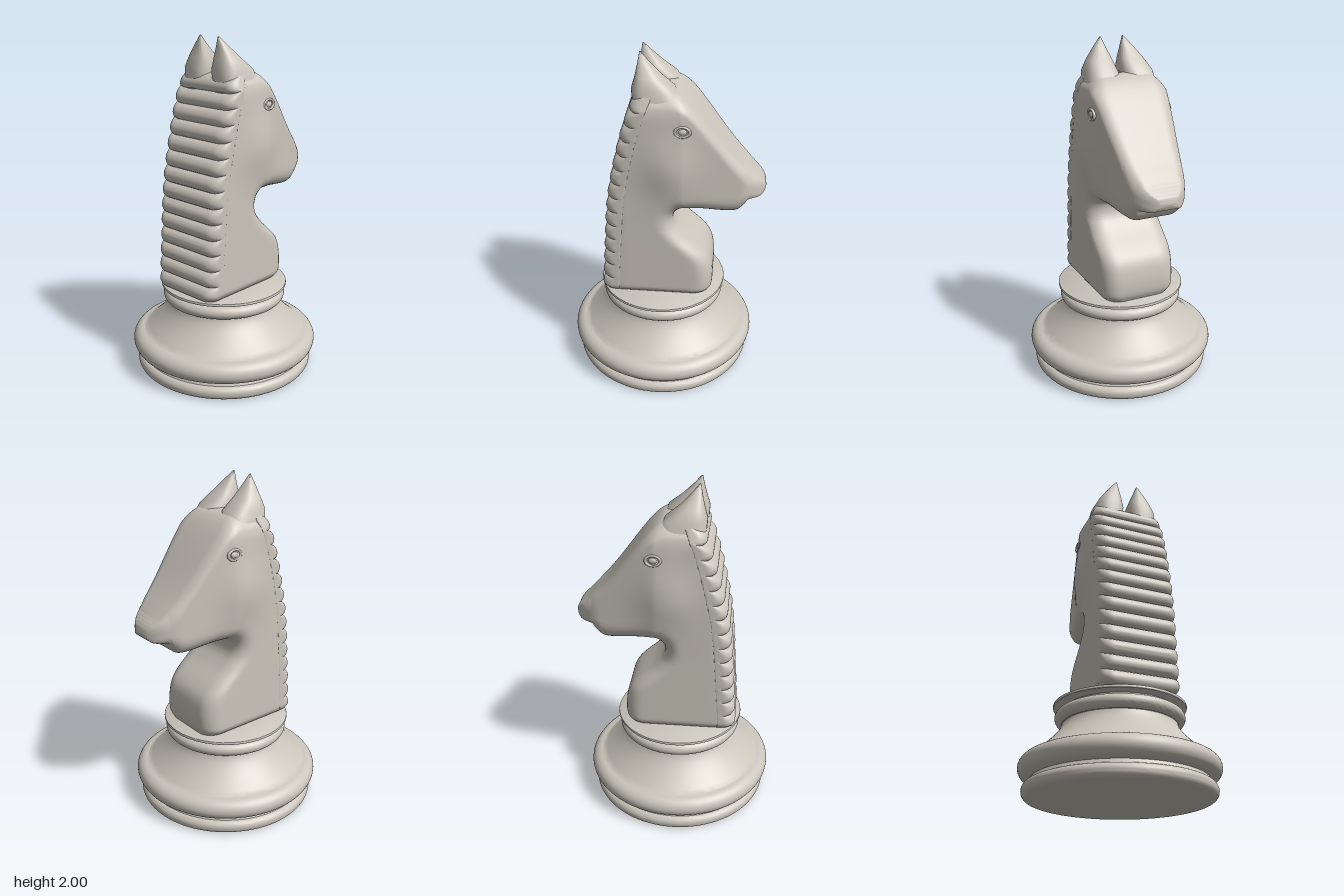
import * as THREE from 'three';
import { toCreasedNormals } from 'three/addons/utils/BufferGeometryUtils.js';

const { smoothstep } = THREE.MathUtils;

// Closed skin over a list of rings (each an array of [x, y, z]) with capped ends
function loft(rings, crease) {
  const n = rings[0].length, pos = rings.flat(2), idx = [];
  for (let r = 0; r < rings.length - 1; r++) {
    for (let i = 0; i < n; i++) {
      const a = r * n + i, b = r * n + (i + 1) % n;
      idx.push(a, b, a + n, b, b + n, a + n);
    }
  }
  [0, rings.length - 1].forEach((r) => {
    const centre = pos.length / 3;
    pos.push(...[0, 1, 2].map((k) => rings[r].reduce((s, p) => s + p[k], 0) / n));
    for (let i = 0; i < n; i++) {
      const a = r * n + i, b = r * n + (i + 1) % n;
      if (r === 0) idx.push(centre, b, a);
      else idx.push(centre, a, b);
    }
  });
  const g = new THREE.BufferGeometry();
  g.setAttribute('position', new THREE.Float32BufferAttribute(pos, 3));
  g.setIndex(idx);
  return toCreasedNormals(g, crease);
}

// Half thickness of the horse at a point of its side outline
function halfWidth(x, y) {
  let w = 0.23 - smoothstep(y, 0.95, 1.1) * 0.18 * Math.max(0, x - 0.1);
  w += 0.033 * Math.exp(-((x - 0.03) ** 2) / 0.02 - ((y - 1.39) ** 2) / 0.03); // cheek
  w -= 0.4 * Math.max(0, y - 1.72);
  w -= 0.03 * (Math.max(0, 0.58 - y) / 0.05) ** 2;
  if (x > 0.42) w *= Math.sqrt(Math.max(0.06, 1 - ((x - 0.42) / 0.165) ** 2)); // muzzle
  return w;
}

// Ring with rounded corners spanning from a back point to a front point
function section(back, front, rb, rf, scale = 1) {
  const d = back.distanceTo(front), half = [], arc = 7, flat = 10;
  const add = (u, inset) => {
    const p = back.clone().lerp(front, u / d);
    half.push([p.x, p.y, halfWidth(p.x, p.y) * scale * (1 - inset / 0.23)]);
  };
  for (let i = 0; i <= arc; i++) {
    const a = i / arc * Math.PI / 2;
    add(rb * (1 - Math.cos(a)), rb * (1 - Math.sin(a)));
  }
  for (let i = 1; i < flat; i++) add(rb + (d - rb - rf) * i / flat, 0);
  for (let i = 0; i <= arc; i++) {
    const a = i / arc * Math.PI / 2;
    add(d - rf * (1 - Math.sin(a)), rf * (1 - Math.cos(a)));
  }
  return [...half, ...half.slice().reverse().map(([x, y, z]) => [x, y, -z])];
}

const curve = (pts) => new THREE.CatmullRomCurve3(pts.map(([x, y]) => new THREE.Vector3(x, y, 0)));

// Turned profile made of rounded beads, a flared waist and a thin top disc
function baseProfile() {
  const pts = [new THREE.Vector2(0, 0)];
  const bead = (r, y0, y1, out) => {
    for (let i = 0; i <= 14; i++) {
      const a = i / 14 * Math.PI;
      pts.push(new THREE.Vector2(r + out * Math.sin(a), (y0 + y1) / 2 - (y1 - y0) / 2 * Math.cos(a)));
    }
  };
  bead(0.505, 0, 0.078, 0.032);
  bead(0.495, 0.1, 0.228, 0.067);
  const waist = new THREE.QuadraticBezierCurve(
    new THREE.Vector2(0.49, 0.229), new THREE.Vector2(0.34, 0.35), new THREE.Vector2(0.328, 0.415));
  pts.push(...waist.getPoints(12));
  bead(0.33, 0.418, 0.495, 0.04);
  bead(0.32, 0.496, 0.508, 0);
  bead(0.378, 0.514, 0.53, 0.002);
  pts.push(new THREE.Vector2(0, 0.53));
  return pts;
}

export function createModel() {
  const group = new THREE.Group();
  const stone = new THREE.MeshStandardMaterial({ color: 0xcbc6bc });
  stone.name = 'warm grey';
  const add = (name, geometry) => {
    const m = new THREE.Mesh(geometry, stone);
    m.name = name;
    group.add(m);
    return m;
  };

  // Turned base
  add('base', toCreasedNormals(new THREE.LatheGeometry(baseProfile(), 96), 0.7)).position.x = -0.02;

  // Neck and head: back or forehead point paired with chest or jaw point
  const pairs = [
    [-0.29, 0.53, 0.27, 0.53], [-0.3, 0.58, 0.287, 0.57], [-0.29, 0.68, 0.288, 0.68],
    [-0.28, 0.78, 0.258, 0.78], [-0.27, 0.93, 0.115, 0.92], [-0.26, 1.02, 0.066, 0.98],
    [-0.255, 1.12, 0.052, 1.03], [-0.235, 1.3, 0.062, 1.075], [-0.175, 1.57, 0.1, 1.106],
    [-0.11, 1.77, 0.145, 1.107], [-0.03, 1.81, 0.165, 1.106], [0.05, 1.81, 0.19, 1.105],
    [0.12, 1.765, 0.22, 1.102], [0.36, 1.465, 0.39, 1.085], [0.42, 1.395, 0.425, 1.095],
    [0.47, 1.343, 0.455, 1.13], [0.51, 1.3, 0.475, 1.165], [0.565, 1.25, 0.55, 1.175],
    [0.577, 1.222, 0.57, 1.195],
  ];
  const backLine = curve(pairs.map((p) => p.slice(0, 2)));
  const frontLine = curve(pairs.map((p) => p.slice(2)));
  const body = Array.from({ length: 145 }, (_, i) => {
    const back = backLine.getPoint(i / 144), front = frontLine.getPoint(i / 144);
    const d = back.distanceTo(front);
    const rb = Math.min(0.03 + 0.05 * smoothstep(back.x, -0.17, 0), d * 0.4);
    return section(back, front, rb, Math.min(0.1, d * 0.37));
  });
  add('neckAndHead', loft(body, 0.8));

  // Ribbed mane wrapping the back of the neck
  const maneLine = curve([[-0.374, 0.53], [-0.357, 0.8], [-0.322, 1.2], [-0.232, 1.6], [-0.165, 1.79]]);
  const ribs = 14, steps = ribs * 10;
  const mane = Array.from({ length: steps + 1 }, (_, i) => {
    const t = i / steps, back = maneLine.getPointAt(t), front = back.clone();
    front.x += 0.11;
    front.y += 0.025 * Math.min(1, t * 8);
    back.x += 0.032 * (1 - Math.abs(Math.sin(Math.PI * ribs * t)) ** 0.6);
    return section(back, front, 0.065, 0.008, 1.005);
  });
  add('mane', loft(mane, 1.0));

  // Ears: levels of [y, xBack, xFront, zInner, zOuter]
  const earLevels = [
    [1.7, -0.17, 0.12, 0.012, 0.215], [1.82, -0.178, 0.055, 0.013, 0.198],
    [1.88, -0.16, -0.02, 0.027, 0.167], [1.95, -0.145, -0.088, 0.05, 0.115],
    [2.0, -0.137, -0.129, 0.067, 0.073],
  ];
  const square = (v) => Math.sign(v) * Math.abs(v) ** 0.7;
  for (const side of [1, -1]) {
    const prefix = side > 0 ? 'front' : 'back';
    const rings = earLevels.map(([y, x0, x1, z0, z1]) => Array.from({ length: 32 }, (_, i) => {
      const a = i / 32 * Math.PI * 2;
      return [(x0 + x1) / 2 - (x1 - x0) / 2 * square(Math.cos(a)), y,
        side * (z0 + z1) / 2 + (z1 - z0) / 2 * square(Math.sin(a))];
    }));
    add(prefix + 'Ear', loft(rings, 0.7));

    // Eye: raised lid ring with a small ball inside
    const z = side * (halfWidth(0.105, 1.62) - 0.002);
    const lid = add(prefix + 'Eyelid', new THREE.TorusGeometry(0.04, 0.009, 10, 32));
    lid.position.set(0.105, 1.62, z);
    lid.scale.set(1, 0.72, 1);
    const ball = add(prefix + 'Eyeball', new THREE.SphereGeometry(0.022, 20, 12));
    ball.position.set(0.105, 1.62, z);
    ball.scale.set(1.1, 0.8, 0.45);
  }
  return group;
}
